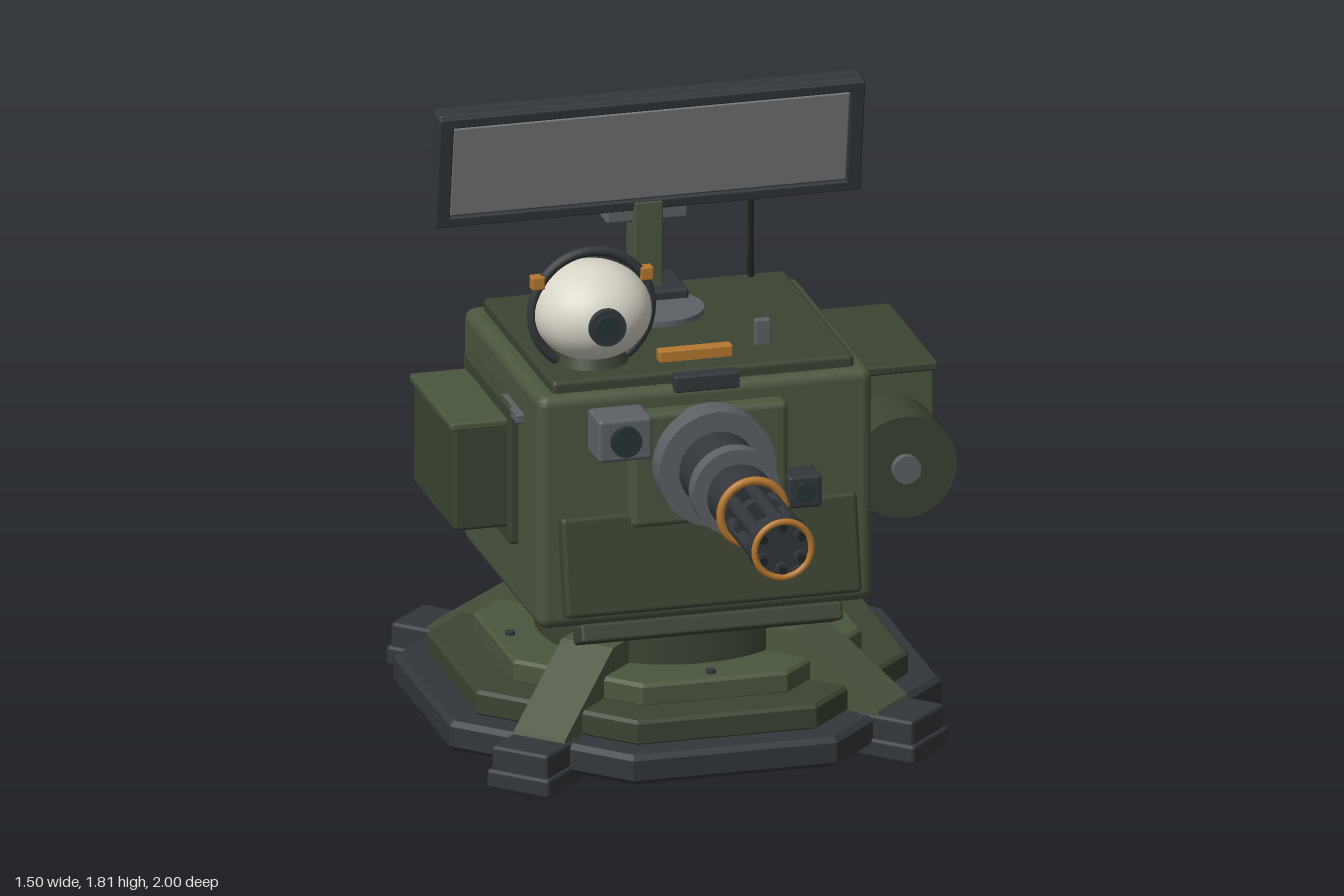
import * as THREE from 'three';
import { RoundedBoxGeometry } from 'three/addons/geometries/RoundedBoxGeometry.js';

const CX = -0.014, CZ = -0.265; // turntable axis
const GUN_Y = 0.91;
const mat = (color, flatShading = false) => {
  const m = new THREE.MeshStandardMaterial({ color });
  m.flatShading = flatShading;
  return m;
};
const GREEN = mat(0x4b5640), DEEP = mat(0x3b4433), DARK = mat(0x33373b), BLACK = mat(0x1f2224);
const GREY = mat(0x5d6166), ORANGE = mat(0xb5772f), WHITE = mat(0xd8d5c8), LENS = mat(0x263236), SCREEN = mat(0x75797b);
const GREEN_FLAT = mat(0x4b5640, true), DEEP_FLAT = mat(0x3b4433, true), DARK_FLAT = mat(0x33373b, true);

export function createModel() {
  const root = new THREE.Group();

  const add = (name, geo, material, x = 0, y = 0, z = 0, parent = root) => {
    const m = new THREE.Mesh(geo, material);
    m.name = name;
    m.position.set(x, y, z);
    parent.add(m);
    return m;
  };
  // Box given by its extents, optionally with softened edges
  const box = (name, material, [x0, x1], [y0, y1], [z0, z1], r = 0, parent = root) => {
    const s = [x1 - x0, y1 - y0, z1 - z0];
    const geo = r ? new RoundedBoxGeometry(...s, 2, r) : new THREE.BoxGeometry(...s);
    return add(name, geo, material, (x0 + x1) / 2, (y0 + y1) / 2, (z0 + z1) / 2, parent);
  };
  // Cylinder along z
  const rod = (name, material, r, z0, z1, x, y, seg = 32, parent = root) =>
    add(name, new THREE.CylinderGeometry(r, r, z1 - z0, seg).rotateX(Math.PI / 2), material, x, y, (z0 + z1) / 2, parent);
  // Upright cylinder
  const post = (name, material, r0, r1, y0, y1, x, z, seg = 32) =>
    add(name, new THREE.CylinderGeometry(r1, r0, y1 - y0, seg), material, x, (y0 + y1) / 2, z);
  // Octagonal tier with flats on the axes and a chamfered top edge
  const tier = (name, material, apothem, y0, y1, chamfer) => {
    const k = 1 / Math.cos(Math.PI / 8), c = chamfer;
    const pts = [[0, y0], [apothem - c, y0], [apothem, y0 + c], [apothem, y1 - c], [apothem - c, y1], [0, y1]]
      .map(([r, y]) => new THREE.Vector2(r * k, y));
    add(name, new THREE.LatheGeometry(pts, 8, Math.PI / 8), material, CX, 0, CZ);
  };

  // Base
  tier('basePlate', DARK_FLAT, 0.735, 0.035, 0.125, 0.015);
  tier('lowerTier', DEEP_FLAT, 0.645, 0.12, 0.198, 0.01);
  tier('upperTier', GREEN_FLAT, 0.52, 0.19, 0.262, 0.01);
  post('turntable', DEEP, 0.385, 0.385, 0.25, 0.44, CX, CZ, 48);
  for (let i = 0; i < 8; i++) {
    const a = (i + 0.5) * Math.PI / 4 + Math.PI / 8;
    post('bolt', DARK, 0.015, 0.015, 0.255, 0.272, CX + 0.47 * Math.cos(a), CZ + 0.47 * Math.sin(a), 8);
  }

  // Four diagonal outriggers with feet
  const legShape = new THREE.Shape([[0.3, 0.1], [0.76, 0.1], [0.745, 0.14], [0.465, 0.335], [0.3, 0.335]]
    .map(p => new THREE.Vector2(...p)));
  const legGeo = new THREE.ExtrudeGeometry(legShape, { depth: 0.17, bevelEnabled: false }).translate(0, 0, -0.085);
  for (let i = 0; i < 4; i++) {
    const leg = new THREE.Group();
    leg.name = 'outrigger';
    leg.position.set(CX, 0, CZ);
    leg.rotation.y = Math.PI / 4 + i * Math.PI / 2;
    add('strut', legGeo, GREEN, 0, 0, 0, leg);
    box('foot', DARK, [0.665, 0.875], [0, 0.06], [-0.104, 0.104], 0.012, leg);
    box('footCap', DARK, [0.675, 0.865], [0.05, 0.13], [-0.094, 0.094], 0.012, leg);
    root.add(leg);
  }

  // Turret body
  box('body', GREEN, [-0.515, 0.488], [0.415, 1.13], [-0.675, 0.155], 0.035);
  box('roofPlate', DEEP, [-0.465, 0.438], [1.1, 1.165], [-0.63, 0.125], 0.015);
  box('backPanel', DEEP, [-0.43, 0.40], [0.505, 1.065], [-0.722, -0.66], 0.018);
  box('ventFrame', BLACK, [-0.28, 0.25], [0.575, 0.875], [-0.726, -0.71]);
  for (let i = 0; i < 5; i++) {
    const slat = box('ventSlat', DARK, [-0.27, 0.24], [0.588 + i * 0.057, 0.63 + i * 0.057], [-0.742, -0.72]);
    slat.rotation.x = 0.3;
  }
  box('mantlet', GREEN, [-0.25, 0.22], [0.72, 1.07], [0.13, 0.205], 0.02);
  box('glacisPlate', DEEP, [-0.455, 0.43], [0.47, 0.765], [0.16, 0.215], 0.015).rotation.x = -0.2;
  box('chinFlap', DEEP, [-0.405, 0.377], [0.375, 0.43], [0.12, 0.225], 0.01).rotation.x = -0.4;

  // Front sight and small sensor
  box('sightHousing', GREY, [-0.367, -0.205], [0.955, 1.085], [0.14, 0.27], 0.012);
  rod('sightLens', LENS, 0.045, 0.26, 0.292, -0.287, 1.02);
  box('sensorHousing', DARK, [0.21, 0.31], [0.75, 0.848], [0.14, 0.238], 0.01);
  rod('sensorLens', LENS, 0.03, 0.23, 0.25, 0.258, 0.8);

  // Ammunition box and drum on the left side
  box('ammoBox', GREEN, [0.47, 0.735], [0.595, 1.02], [-0.595, -0.09], 0.01);
  box('ammoLid', DEEP, [0.47, 0.745], [1.015, 1.043], [-0.605, -0.08], 0.008);
  box('ammoMarker', ORANGE, [0.73, 0.746], [0.755, 0.89], [-0.475, -0.215]);
  rod('ammoDrum', DEEP, 0.155, -0.1, 0.12, 0.59, 0.803, 40);
  rod('drumHub', GREY, 0.042, 0.11, 0.145, 0.59, 0.803, 20);

  // Equipment box on the right side
  box('sidePanel', DEEP, [-0.543, -0.5], [0.61, 1.03], [-0.56, -0.06], 0.01);
  box('equipmentBox', DEEP, [-0.70, -0.53], [0.655, 0.97], [-0.53, -0.09], 0.012);
  box('equipmentLid', GREEN, [-0.71, -0.53], [0.962, 0.988], [-0.54, -0.085], 0.008);
  for (const x of [CX - 0.508, CX + 0.508]) box('grabBar', GREY, [x - 0.016, x + 0.016], [1.0, 1.03], [-0.19, 0.0], 0.006);

  // Rotary gun
  rod('gunCollar', GREY, 0.175, 0.19, 0.28, CX, GUN_Y, 40);
  rod('gunHousing', DARK, 0.115, 0.27, 0.42, CX, GUN_Y);
  rod('gunNeck', DARK, 0.085, 0.41, 0.53, CX, GUN_Y);
  rod('gunFlange', GREY, 0.13, 0.435, 0.485, CX, GUN_Y);
  rod('barrelSleeve', DARK, 0.097, 0.52, 0.66, CX, GUN_Y);
  add('sleeveRing', new THREE.TorusGeometry(0.097, 0.013, 10, 36), ORANGE, CX, GUN_Y, 0.663);
  rod('barrelSpacer', DARK, 0.078, 0.74, 0.775, CX, GUN_Y);
  rod('barrelSpindle', DARK, 0.022, 0.65, 0.95, CX, GUN_Y, 12);
  for (let i = 0; i < 6; i++) {
    const a = i * Math.PI / 3 + Math.PI / 6;
    const x = CX + 0.066 * Math.cos(a), y = GUN_Y + 0.066 * Math.sin(a);
    rod('barrel', DARK, 0.023, 0.65, 0.99, x, y, 14);
    rod('barrelBore', BLACK, 0.013, 0.98, 0.992, x, y, 12);
  }
  const hoop = new THREE.Shape().absarc(0, 0, 0.095, 0, Math.PI * 2);
  hoop.holes.push(new THREE.Path().absarc(0, 0, 0.072, 0, Math.PI * 2, true));
  add('muzzleClamp', new THREE.ExtrudeGeometry(hoop, { depth: 0.045, bevelEnabled: false, curveSegments: 24 }), DARK, CX, GUN_Y, 0.94);
  rod('muzzleDisc', DARK, 0.08, 0.945, 0.975, CX, GUN_Y);
  add('muzzleRing', new THREE.TorusGeometry(0.085, 0.01, 8, 36), ORANGE, CX, GUN_Y, 0.99);

  // Ball camera on the roof
  post('cameraPedestal', DEEP, 0.11, 0.09, 1.155, 1.205, -0.303, -0.04);
  add('cameraBall', new THREE.SphereGeometry(0.174, 40, 28).scale(1, 0.83, 1), WHITE, -0.303, 1.318, -0.04);
  add('cameraRing', new THREE.TorusGeometry(0.178, 0.015, 12, 48), DARK, -0.303, 1.317, -0.04);
  rod('cameraLensRim', DARK, 0.055, 0.1, 0.142, -0.303, 1.32);
  rod('cameraLens', LENS, 0.04, 0.13, 0.155, -0.303, 1.32);
  for (const s of [-1, 1]) {
    const x = -0.303 + s * 0.162;
    box('ringLug', ORANGE, [x - 0.02, x + 0.02], [1.395, 1.435], [-0.058, -0.022], 0.005);
  }

  // Roof fittings
  box('roofMarker', ORANGE, [-0.122, 0.097], [1.155, 1.198], [0.005, 0.045], 0.005);
  box('roofBlock', DARK, [-0.11, 0.085], [1.11, 1.16], [0.08, 0.165], 0.006);
  post('roofDisc', GREY, 0.137, 0.137, 1.155, 1.182, CX, -0.38, 40);
  box('roofStub', GREY, [0.183, 0.23], [1.155, 1.24], [-0.053, -0.028], 0.005);
  post('whipAntenna', BLACK, 0.009, 0.007, 1.155, 1.53, 0.327, -0.6, 10);

  // Mast
  box('mastBase', DARK, [-0.125, 0.095], [1.155, 1.21], [-0.6, -0.425], 0.01);
  box('mast', GREEN, [-0.056, 0.03], [1.2, 1.47], [-0.56, -0.47], 0.006);
  box('mastBracket', GREY, [-0.135, 0.108], [1.405, 1.475], [-0.56, -0.485], 0.008);

  // Radar panel, tilted a little forward
  const radar = new THREE.Group();
  radar.name = 'radarPanel';
  radar.position.set(CX, 1.625, -0.49);
  radar.rotation.x = 0.16;
  root.add(radar);
  box('panelFrame', DARK, [-0.638, 0.638], [-0.18, 0.18], [-0.042, 0.03], 0.015, radar);
  for (const s of [-1, 1]) {
    box('frameRail', DARK, [-0.635, 0.635], [s * 0.162 - 0.016, s * 0.162 + 0.016], [0.02, 0.042], 0.006, radar);
    box('frameEnd', DARK, [s * 0.614 - 0.022, s * 0.614 + 0.022], [-0.178, 0.178], [0.02, 0.042], 0.006, radar);
    box('backBrace', DARK, [-0.41, 0.41], [-0.014, 0.014], [-0.062, -0.035], 0, radar).rotation.z = s * 0.3;
  }
  box('panelScreen', SCREEN, [-0.592, 0.592], [-0.142, 0.142], [0.02, 0.036], 0.004, radar);
  add('backTube', new THREE.CylinderGeometry(0.016, 0.016, 0.72, 12).rotateZ(Math.PI / 2), DARK, 0, 0, -0.07, radar);
  box('backHub', GREY, [-0.085, 0.085], [-0.06, 0.06], [-0.11, -0.035], 0.008, radar);

  return root;
}
